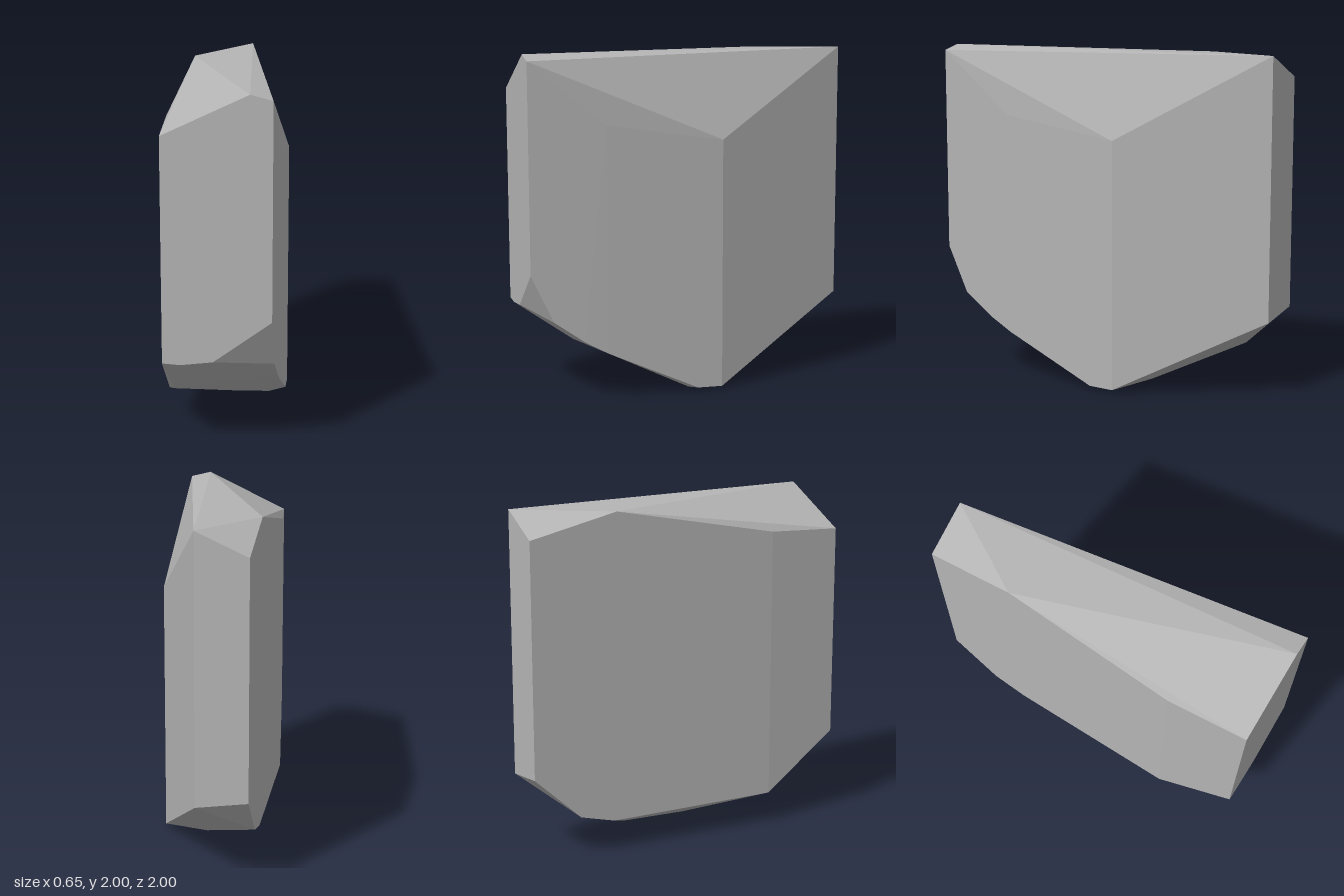
import * as THREE from 'three';
import { ConvexGeometry } from 'three/addons/geometries/ConvexGeometry.js';

export function createModel() {
  const group = new THREE.Group();
  group.name = 'stoneShard';
  const stone = new THREE.MeshStandardMaterial({ color: 0xb4b4b4 });
  stone.name = 'grey stone';

  const L = -0.325, R = 0.322;
  // slanted top
  const top = [
    [-0.03, 1.985, -1], [R, 1.97, 1], [0.2, 2, 1], [-0.28, 1.77, 1],
    [L, 1.79, 0.53], [L, 1.975, -0.48], [L, 1.85, -1],
  ];
  // creases down the broad left side
  const side = [
    [0.293, 1.49, -0.15], [0.319, 1.6, 0.55], [0.319, 0.28, 0.55],
  ];
  // chipped rim around the lower part
  const rim = [
    [R, 0.77, 1], [0, 0.53, 1], [-0.18, 0.505, 1], [-0.28, 0.51, 1],
    [R, 0.49, 0.87], [R, 0.36, 0.69],
    [-0.28, 0.22, 0.62], [L, 0.19, 0.53],
    [L, 0.185, -0.51], [L, 0.24, -0.72], [L, 0.5, -1], [-0.03, 0.46, -1],
  ];
  // blunt foot
  const foot = [
    [0.2, 0, 0.03], [0.2, 0, -0.14], [0.293, 0.015, -0.15],
    [0.298, 0.02, 0.0], [0.02, 0.028, 0.12], [0.02, 0.035, -0.27],
  ];

  const points = [...top, ...side, ...rim, ...foot].map((p) => new THREE.Vector3(...p));
  const shard = new THREE.Mesh(new ConvexGeometry(points), stone);
  shard.name = 'shard';
  group.add(shard);
  return group;
}
